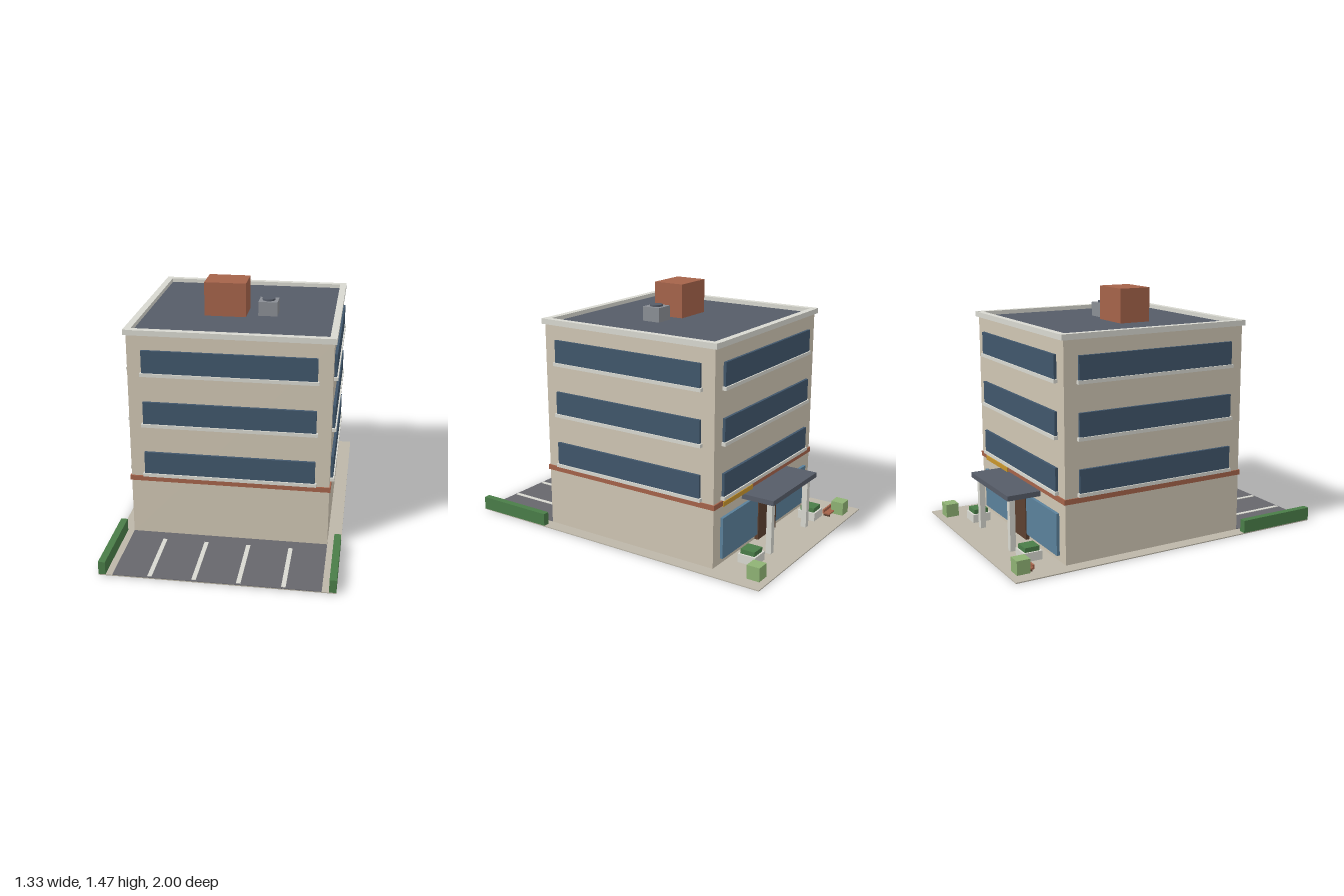
import * as THREE from 'three';

const mat = (color) => new THREE.MeshStandardMaterial({ color, flatShading: true });

export function createModel() {
  const M = {
    wall: mat(0xcfc5b3), glass: mat(0x40566b), trim: mat(0xd8d8d0), brick: mat(0xa5634a),
    roof: mat(0x565c68), asphalt: mat(0x66666c), paving: mat(0xbcb6a8), hedge: mat(0x4a7d48),
    bush: mat(0x8fb274), shop: mat(0x5a809a), door: mat(0x5c4030), metal: mat(0x8a8e94), sign: mat(0xc8962e),
  };
  const model = new THREE.Group();

  // Box given by its extents along x, y and z
  const box = (name, material, x0, x1, y0, y1, z0, z1) => {
    const mesh = new THREE.Mesh(new THREE.BoxGeometry(x1 - x0, y1 - y0, z1 - z0), material);
    mesh.position.set((x0 + x1) / 2, (y0 + y1) / 2, (z0 + z1) / 2);
    mesh.name = name;
    model.add(mesh);
    return mesh;
  };

  const W = 0.585, F = 0.5, B = -0.665; // half width, front wall and back wall

  // Site: paving, parking bays and hedges
  box('paving', M.paving, -0.665, 0.665, 0, 0.006, -1, 1);
  box('parkingLot', M.asphalt, -W, W, 0.003, 0.009, F, 1);
  for (const x of [-0.375, -0.125, 0.125, 0.375]) {
    box('parkingStripe', M.trim, x - 0.0125, x + 0.0125, 0.006, 0.012, 0.58, 0.99);
  }
  for (const s of [-1, 1]) {
    const c = s * 0.645;
    box('hedge', M.hedge, c - 0.02, c + 0.02, 0.004, 0.083, F, 1);
  }

  // Main block with the brick band above the ground floor
  box('walls', M.wall, -W, W, 0.004, 1.262, B, F);
  box('brickBand', M.brick, -0.592, 0.592, 0.355, 0.385, B - 0.008, F + 0.008);

  // Ribbon windows and sills on all four sides of each upper floor
  for (const y of [0.41, 0.725, 1.037]) {
    const top = y + 0.134, sill = y - 0.02;
    for (const [wall, s] of [[F, 1], [B, -1]]) {
      const span = (d) => [wall - 0.02, wall + s * d].sort((a, b) => a - b);
      const bar = (d) => s > 0 ? span(d) : [wall - d, wall + 0.02];
      box('ribbonWindow', M.glass, -0.5, 0.5, y, top, ...bar(0.016));
      box('windowSill', M.trim, -0.51, 0.51, sill, y, ...bar(0.024));
    }
    for (const s of [-1, 1]) {
      const bar = (d) => s > 0 ? [W - 0.02, W + d] : [-W - d, -W + 0.02];
      box('sideRibbonWindow', M.glass, ...bar(0.016), y, top, -0.58, 0.42);
      box('sideWindowSill', M.trim, ...bar(0.024), sill, y, -0.59, 0.43);
    }
  }

  // Roof deck inside a raised parapet
  box('roofDeck', M.roof, -0.57, 0.57, 1.255, 1.265, -0.65, 0.48);
  for (const s of [-1, 1]) {
    const x = s * 0.579;
    box('sideParapet', M.trim, x - 0.02, x + 0.02, 1.258, 1.29, -0.682, 0.515);
  }
  box('frontParapet', M.trim, -0.59, 0.59, 1.258, 1.289, 0.475, 0.515);
  box('backParapet', M.trim, -0.59, 0.59, 1.258, 1.289, -0.682, -0.642);

  // Rooftop stair house and cooling unit
  box('stairHouse', M.brick, -0.208, 0.04, 1.26, 1.468, -0.098, 0.098);
  box('coolingUnit', M.metal, 0.108, 0.222, 1.26, 1.35, -0.057, 0.057);
  const fan = new THREE.Mesh(new THREE.CylinderGeometry(0.038, 0.038, 0.012, 20), M.roof);
  fan.position.set(0.165, 1.355, 0);
  fan.name = 'coolingFan';
  model.add(fan);

  // Entrance side: shop windows, door, sign board and canopy
  for (const s of [-1, 1]) {
    const c = s * 0.31;
    box('shopWindow', M.shop, c - 0.2, c + 0.2, 0.04, 0.285, B - 0.018, B + 0.01);
    box('canopyPost', M.trim, s * 0.225 - 0.017, s * 0.225 + 0.017, 0.004, 0.322, -0.845, -0.811);
  }
  box('entranceDoor', M.door, -0.11, 0.11, 0.006, 0.275, B - 0.024, B + 0.01);
  box('signBoard', M.sign, 0.17, 0.5, 0.35, 0.378, B - 0.014, B + 0.01);
  box('canopy', M.roof, -0.275, 0.275, 0.32, 0.35, -0.87, B + 0.005);

  // Planters and clipped bushes, mirrored
  for (const s of [-1, 1]) {
    const p = s * 0.377, b = s * 0.542;
    box('planter', M.trim, p - 0.056, p + 0.056, 0.004, 0.058, -0.848, -0.735);
    box('planterHedge', M.hedge, p - 0.045, p + 0.045, 0.05, 0.085, -0.837, -0.746);
    box('bush', M.bush, b - 0.04, b + 0.04, 0.004, 0.088, -0.957, -0.877);
  }

  // Bench
  box('benchSeat', M.brick, -0.578, -0.43, 0.022, 0.03, -0.9, -0.855);
  box('benchBack', M.brick, -0.578, -0.43, 0.022, 0.048, -0.862, -0.852);
  for (const x of [-0.565, -0.45]) {
    box('benchLeg', M.door, x, x + 0.01, 0.004, 0.024, -0.895, -0.857);
  }

  return model;
}
